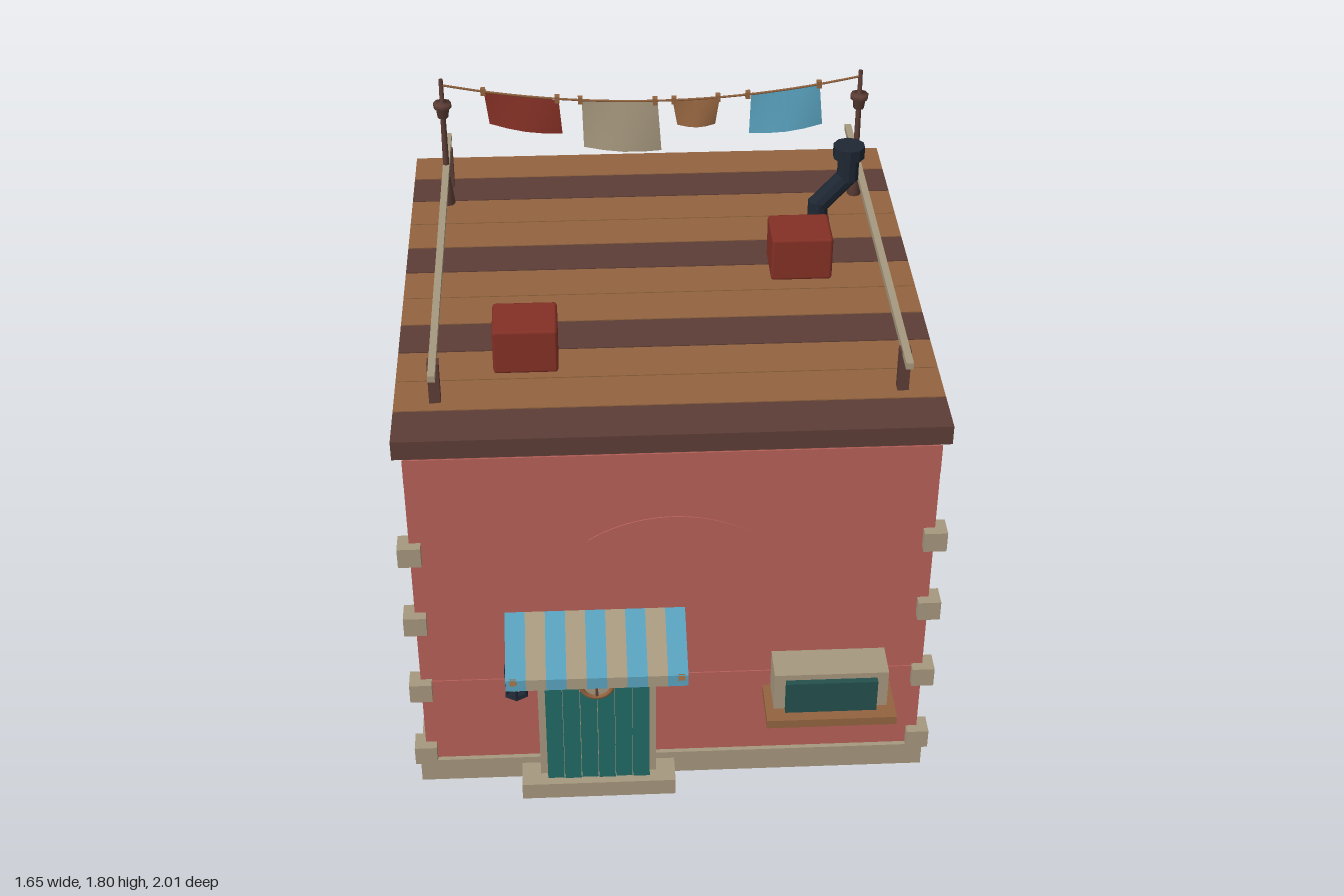
import * as THREE from 'three';
import { RoundedBoxGeometry } from 'three/addons/geometries/RoundedBoxGeometry.js';

const mat = (name, color, extra = {}) =>
  Object.assign(new THREE.MeshStandardMaterial({ color, ...extra }), { name });

export function createModel() {
  const M = {
    wall: mat('wall red', 0xb56058, { side: THREE.DoubleSide }),
    stone: mat('pale stone', 0xa6987e, { side: THREE.DoubleSide }),
    wood: mat('wood', 0x93643f, { side: THREE.DoubleSide }),
    dark: mat('dark wood', 0x5c3d35),
    teal: mat('teal door', 0x226a66),
    glass: mat('dark glass', 0x24504d),
    blue: mat('blue cloth', 0x58a0bc, { side: THREE.DoubleSide }),
    red: mat('crate red', 0x843025, { side: THREE.DoubleSide }),
    iron: mat('iron', 0x1e2733, { flatShading: true }),
  };
  const root = new THREE.Group();
  const add = (name, geo, material, parent = root) => {
    const m = new THREE.Mesh(geo, material);
    m.name = name;
    parent.add(m);
    return m;
  };
  // box given by its min and max on each axis
  const box = (name, x0, x1, y0, y1, z0, z1, material) => {
    const m = add(name, new THREE.BoxGeometry(x1 - x0, y1 - y0, z1 - z0), material);
    m.position.set((x0 + x1) / 2, (y0 + y1) / 2, (z0 + z1) / 2);
    return m;
  };
  // cylinder running between two points
  const rod = (name, a, b, ra, rb, sides, material) => {
    const p = new THREE.Vector3(...a), q = new THREE.Vector3(...b), d = q.clone().sub(p);
    const m = add(name, new THREE.CylinderGeometry(rb, ra, d.length(), sides), material);
    m.position.copy(p).add(q).multiplyScalar(0.5);
    m.quaternion.setFromUnitVectors(new THREE.Vector3(0, 1, 0), d.normalize());
    return m;
  };
  // rectangular sheet with a hole, extruded along z
  const frameGeo = (w, h, iw, ih, depth) => {
    const rect = (T, a, b) => new T([[-a, -b], [a, -b], [a, b], [-a, b]].map(p => new THREE.Vector2(p[0] / 2, p[1] / 2)));
    const s = rect(THREE.Shape, w, h);
    s.holes.push(rect(THREE.Path, iw, ih));
    return new THREE.ExtrudeGeometry(s, { depth, bevelEnabled: false });
  };

  // walls and plinth
  box('plinth', -0.81, 0.81, 0, 0.085, -0.977, 0.78, M.stone);
  box('walls', -0.79, 0.79, 0.085, 1.27, -0.955, 0.727, M.wall);
  const facade = add('facade', new THREE.PlaneGeometry(1.58, 1.19), M.wall);
  facade.position.set(0, 0.68, 0.765);
  box('facadeTopBand', -0.79, 0.79, 1.18, 1.275, 0.765, 0.769, M.wall);
  box('facadeLowBand', -0.79, 0.79, 0.33, 0.415, 0.765, 0.769, M.wall);
  const arch = new THREE.Shape();
  arch.moveTo(-0.255, 0.48);
  arch.lineTo(0.255, 0.48);
  arch.lineTo(0.255, 0.96);
  const ang = Math.atan2(0.366, 0.255);
  arch.absarc(0, 0.594, 0.446, ang, Math.PI - ang, false);
  add('blindArch', new THREE.ExtrudeGeometry(arch, { depth: 0.004, bevelEnabled: false, curveSegments: 10 }), M.wall)
    .position.z = 0.765;

  // corner stones
  for (const s of [-1, 1]) for (const [z0, z1] of [[0.727, 0.796], [-1, -0.927]])
    for (const y of [0.12, 0.388, 0.662, 0.933])
      box('cornerStone', s * 0.79 - 0.035, s * 0.79 + 0.035, y - 0.034, y + 0.034, z0, z1, M.stone);

  // side windows
  for (const s of [-1, 1]) for (const z of [0.26, -0.463]) {
    const f = add('sideWindowFrame', frameGeo(0.207, 0.23, 0.145, 0.172, 0.027), M.stone);
    f.rotation.y = s * Math.PI / 2;
    f.position.set(s * 0.788, 0.828, z);
    box('sideWindowGlass', s * 0.799 - 0.012, s * 0.799 + 0.012, 0.742, 0.914, z - 0.0725, z + 0.0725, M.glass);
    box('sideWindowSill', s * 0.805 - 0.02, s * 0.805 + 0.02, 0.65, 0.68, z - 0.118, z + 0.118, M.wood);
  }

  // front window
  box('frontWindowFrame', 0.31, 0.665, 0.35, 0.492, 0.765, 0.88, M.stone);
  box('frontWindowGlass', 0.345, 0.63, 0.35, 0.472, 0.87, 0.9, M.glass);
  box('frontWindowSill', 0.285, 0.69, 0.325, 0.355, 0.765, 0.935, M.wood);

  // door
  box('doorStep', -0.485, 0.005, 0, 0.06, 0.75, 0.88, M.stone);
  box('doorFrame', -0.425, -0.055, 0.06, 0.665, 0.765, 0.83, M.stone);
  for (let i = 0; i < 6; i++)
    box('doorPlank', -0.402 + i * 0.0545, -0.3495 + i * 0.0545, 0.06, 0.645, 0.82, 0.852 + (i % 2) * 0.003, M.teal);
  const pane = add('portholePane', new THREE.CircleGeometry(0.05, 20), M.stone);
  pane.position.set(-0.24, 0.46, 0.857);
  add('portholeRing', new THREE.TorusGeometry(0.05, 0.008, 6, 20), M.wood).position.set(-0.24, 0.46, 0.858);
  box('portholeBar', -0.244, -0.236, 0.412, 0.508, 0.856, 0.862, M.dark);
  box('portholeBar', -0.288, -0.192, 0.456, 0.464, 0.856, 0.862, M.dark);

  // striped awning with a short valance
  for (let i = 0; i < 9; i++) {
    const w = 0.55 / 9, g = new THREE.PlaneGeometry(w, 1, 1, 2), p = g.attributes.position;
    const rows = [[0.715, 0.8], [0.615, 0.998], [0.575, 1]];
    for (let v = 0; v < p.count; v++) p.setXYZ(v, p.getX(v), ...rows[Math.floor(v / 2)]);
    const flat = g.toNonIndexed();
    flat.computeVertexNormals();
    add('awningStripe', flat, i % 2 ? M.stone : M.blue).position.x = -0.515 + (i + 0.5) * w;
  }
  for (const x of [-0.492, 0.015]) {
    const strut = add('awningStrut', new THREE.BoxGeometry(0.02, 0.02, 0.25), M.wood);
    strut.position.set(x, 0.545, 0.893);
    strut.rotation.x = -Math.atan2(0.12, 0.2);
  }

  // hanging lantern
  const lx = -0.487, lz = 0.882;
  for (const y of [0.462, 0.555])
    rod('lanternPlate', [lx, y, lz], [lx, y + 0.012, lz], 0.04, 0.036, 6, M.iron);
  rod('lanternHook', [lx, 0.56, lz], [lx, 0.59, lz], 0.008, 0.008, 6, M.iron);
  rod('lanternCandle', [lx, 0.47, lz], [lx, 0.53, lz], 0.014, 0.014, 8, M.stone);
  for (let i = 0; i < 6; i++) {
    const a = i * Math.PI / 3, x = lx + Math.sin(a) * 0.033, z = lz + Math.cos(a) * 0.033;
    rod('lanternBar', [x, 0.465, z], [x, 0.56, z], 0.005, 0.005, 4, M.iron);
  }

  // roof planks
  for (let i = 0; i < 11; i++) {
    const z = 0.759 - i * 0.1565;
    box('roofPlank', -0.82, 0.82, 1.272, 1.335, z - 0.152, z, i % 3 ? M.wood : M.dark);
  }

  // roof rails, line poles
  const lineY = x => 1.705 + 0.075 * (x / 0.7) ** 2;
  for (const s of [-1, 1]) {
    const x = s * 0.697;
    box('roofRail', x - 0.011, x + 0.011, 1.463, 1.485, -0.86, 0.645, M.stone);
    for (const z of [0.55, -0.757])
      box('railPost', x - 0.017, x + 0.017, 1.335, 1.475, z - 0.016, z + 0.016, M.dark);
    const profile = [[0, 1.335], [0.024, 1.335], [0.011, 1.44], [0.009, 1.66], [0.018, 1.662], [0.022, 1.695],
      [0.03, 1.697], [0.03, 1.715], [0.008, 1.718], [0.007, 1.8], [0, 1.8]];
    add('linePole', new THREE.LatheGeometry(profile.map(p => new THREE.Vector2(...p)), 8), M.dark)
      .position.set(x, 0, -0.635);
  }

  // washing line, pegs and cloths
  const pts = [];
  for (let i = 0; i <= 10; i++) pts.push(new THREE.Vector3(-0.7 + i * 0.14, lineY(-0.7 + i * 0.14), -0.635));
  add('washingLine', new THREE.TubeGeometry(new THREE.CatmullRomCurve3(pts), 24, 0.004, 5), M.wood);
  for (const x of [-0.56, -0.315, -0.238, 0.012, 0.075, 0.222, 0.322, 0.56])
    box('peg', x - 0.008, x + 0.008, lineY(x) - 0.012, lineY(x) + 0.012, -0.645, -0.625, M.wood);
  // corners: top left, top right, bottom left, bottom right
  const cloths = [
    [M.red, [-0.557, 1.748], [-0.31, 1.714], [-0.543, 1.633], [-0.3, 1.59]],
    [M.stone, [-0.233, 1.71], [0.02, 1.705], [-0.229, 1.538], [0.033, 1.519]],
    [M.wood, [0.07, 1.705], [0.228, 1.71], [0.086, 1.614], [0.214, 1.614]],
    [M.blue, [0.333, 1.719], [0.562, 1.752], [0.329, 1.576], [0.576, 1.605]],
  ];
  for (const [material, a, b, c, d] of cloths) {
    const g = new THREE.PlaneGeometry(1, 1, 4, 2), p = g.attributes.position;
    for (let i = 0; i < p.count; i++) {
      const u = p.getX(i) + 0.5, v = 0.5 - p.getY(i);
      const at = k => (a[k] * (1 - u) + b[k] * u) * (1 - v) + (c[k] * (1 - u) + d[k] * u) * v;
      p.setXYZ(i, at(0), at(1), -0.635 + 0.024 * v * Math.sin(Math.PI * u));
    }
    g.computeVertexNormals();
    add('cloth', g, material);
  }

  // crates
  for (const [x, z] of [[-0.428, 0.338], [0.458, -0.157]])
    add('crate', new RoundedBoxGeometry(0.197, 0.15, 0.17, 1, 0.01), M.red).position.set(x, 1.41, z);

  // bent chimney pipe with cap
  const cz = -0.45;
  rod('chimneyFoot', [0.55, 1.33, cz], [0.55, 1.35, cz], 0.04, 0.04, 10, M.iron);
  rod('chimneyLower', [0.55, 1.33, cz], [0.55, 1.415, cz], 0.034, 0.034, 10, M.iron);
  rod('chimneyBend', [0.545, 1.395, cz], [0.652, 1.515, cz], 0.034, 0.034, 10, M.iron);
  rod('chimneyUpper', [0.645, 1.495, cz], [0.645, 1.59, cz], 0.036, 0.036, 10, M.iron);
  rod('chimneyCap', [0.645, 1.578, cz], [0.645, 1.62, cz], 0.053, 0.053, 10, M.iron);

  return root;
}
